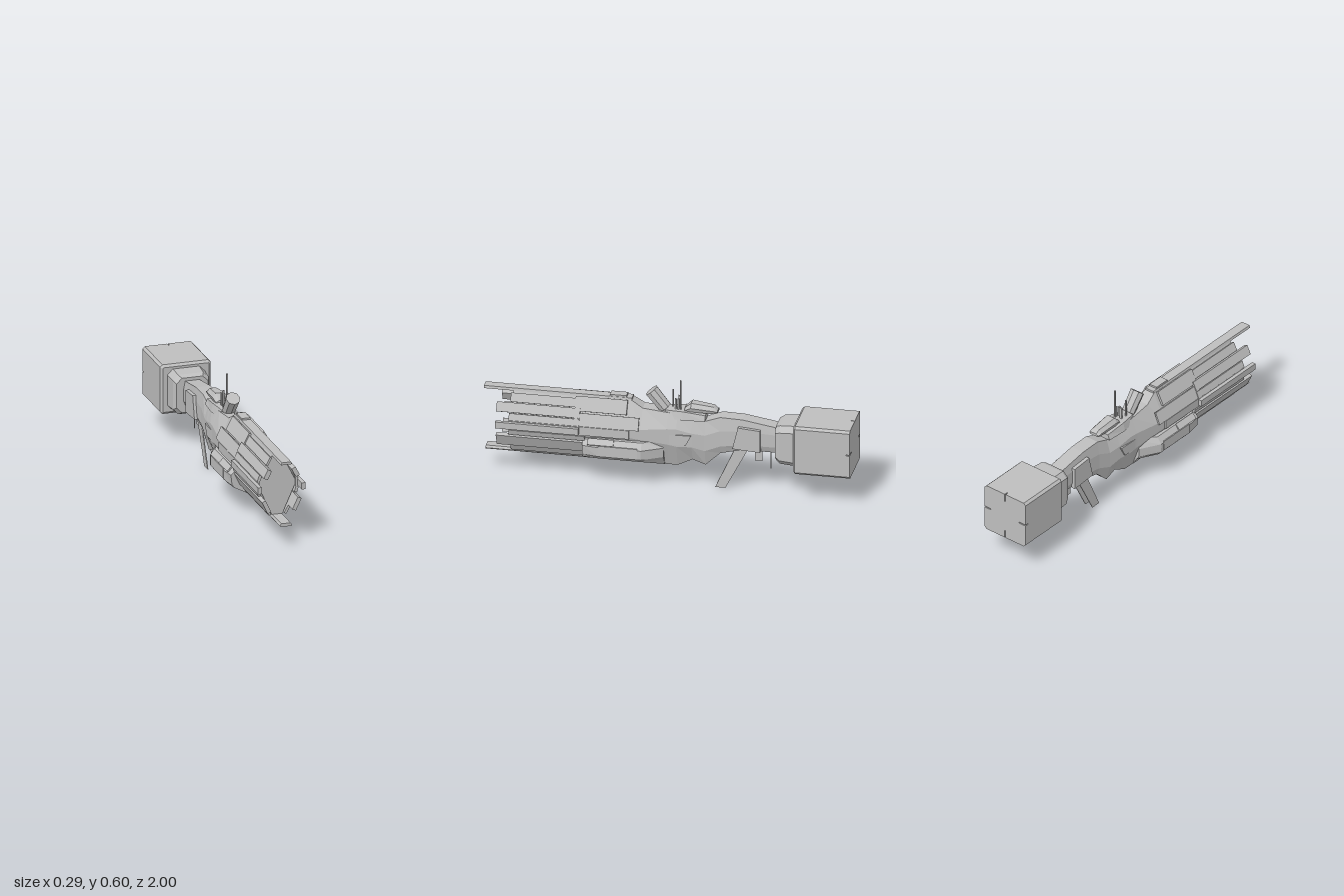
import * as THREE from 'three';

export function createModel() {
  const model = new THREE.Group();
  model.name = 'spaceship';
  const hullGrey = new THREE.MeshStandardMaterial({ color: 0xbebebe });
  hullGrey.name = 'hull grey';

  const add = (name, geo, x = 0, y = 0, z = 0) => {
    const m = new THREE.Mesh(geo, hullGrey);
    m.name = name;
    m.position.set(x, y, z);
    model.add(m);
    return m;
  };
  const box = (name, x0, x1, y0, y1, z0, z1) =>
    add(name, new THREE.BoxGeometry(x1 - x0, y1 - y0, z1 - z0), (x0 + x1) / 2, (y0 + y1) / 2, (z0 + z1) / 2);

  // Full outline from a right-hand half listed bottom to top
  const mirrored = half => [...half, ...half.slice().reverse().map(([x, y]) => [-x, y])];

  // Faceted skin through cross-sections listed from front to back
  const loft = (name, sections) => {
    const pos = [];
    const rings = sections.map(([z, pts]) => pts.map(([x, y]) => [x, y, z]));
    const tri = (a, b, c) => pos.push(...a, ...b, ...c);
    const n = rings[0].length, last = rings[rings.length - 1];
    for (let i = 0; i < rings.length - 1; i++) {
      const a = rings[i], b = rings[i + 1];
      for (let j = 0; j < n; j++) {
        const k = (j + 1) % n;
        tri(b[j], b[k], a[k]);
        tri(b[j], a[k], a[j]);
      }
    }
    for (let j = 1; j < n - 1; j++) {
      tri(rings[0][0], rings[0][j], rings[0][j + 1]);
      tri(last[0], last[j + 1], last[j]);
    }
    const g = new THREE.BufferGeometry();
    g.setAttribute('position', new THREE.Float32BufferAttribute(pos, 3));
    g.computeVertexNormals();
    return add(name, g);
  };

  // Side-on outline in (z, y), given thickness across x
  const sidePlate = (name, zy, x, t) => {
    const g = new THREE.ExtrudeGeometry(new THREE.Shape(zy.map(([z, y]) => new THREE.Vector2(-z, y))),
      { depth: t, bevelEnabled: false });
    g.translate(0, 0, -t / 2);
    g.rotateY(Math.PI / 2);
    return add(name, g, x);
  };

  // Armour slab lying along a line of the cross-section, on both sides
  const slabs = (name, x0, y0, x1, y1, z0, z1, t) => {
    for (const s of [1, -1]) {
      const m = add(name, new THREE.BoxGeometry(Math.hypot(x1 - x0, y1 - y0), t, z1 - z0),
        s * (x0 + x1) / 2, (y0 + y1) / 2, (z0 + z1) / 2);
      m.rotation.z = s * Math.atan2(y1 - y0, x1 - x0);
    }
  };

  // Main hull: z, bottom half-width and y, waist half-width, low and high y, top half-width and y
  const hull = [
    [0.84, 0.03, 0.13, 0.103, 0.295, 0.31, 0.027, 0.465],
    [0.20, 0.032, 0.118, 0.105, 0.28, 0.32, 0.03, 0.467],
    [0.14, 0.035, 0.117, 0.098, 0.27, 0.33, 0.037, 0.43],
    [0.00, 0.035, 0.115, 0.082, 0.25, 0.34, 0.045, 0.42],
    [-0.05, 0.035, 0.115, 0.078, 0.24, 0.34, 0.045, 0.415],
    [-0.13, 0.035, 0.155, 0.07, 0.24, 0.32, 0.042, 0.40],
    [-0.20, 0.035, 0.13, 0.06, 0.22, 0.31, 0.038, 0.385],
    [-0.28, 0.035, 0.205, 0.052, 0.25, 0.34, 0.04, 0.415],
    [-0.40, 0.035, 0.235, 0.05, 0.27, 0.35, 0.04, 0.412],
    [-0.60, 0.035, 0.235, 0.048, 0.27, 0.34, 0.04, 0.38],
  ];
  loft('hull', hull.map(([z, bw, by, w, lo, hi, tw, ty]) =>
    [z, mirrored([[bw, by], [w, lo], [w, hi], [tw, ty]])]));

  // Side pods joined under the belly
  const belly = [
    [0.45, 0.11, 0.122, 0.128, 0.25],
    [0.36, 0.12, 0.138, 0.14, 0.26],
    [0.13, 0.12, 0.138, 0.14, 0.26],
    [0.02, 0.06, 0.075, 0.078, 0.27],
  ];
  loft('sidePods', belly.map(([z, a, b, c, top]) =>
    [z, mirrored([[0.036, 0.114], [a, 0.153], [b, 0.172], [c, 0.225], [a - 0.008, top], [0.04, top + 0.01]])]));
  slabs('podPanel', 0.14, 0.235, 0.14, 0.178, 0.15, 0.36, 0.006);
  slabs('podTopPlate', 0.112, 0.262, 0.137, 0.235, 0.28, 0.42, 0.008);

  // Long spines overhanging the bow
  loft('topSpine', [1, 0.2].map(z => [z, mirrored([[0.03, 0.464], [0.026, 0.478]])]));
  loft('bottomSpine', [0.99, 0.1].map(z => [z, mirrored([[0.03, 0.112], [0.034, 0.118], [0.026, 0.13]])]));
  box('spineHatch', -0.024, 0.024, 0.476, 0.488, 0.23, 0.32);

  // Armour and forward beams
  slabs('upperArmour', 0.036, 0.468, 0.073, 0.397, 0.22, 0.5, 0.014);
  slabs('upperBowPlate', 0.037, 0.455, 0.06, 0.412, 0.47, 0.85, 0.012);
  slabs('upperBeam', 0.066, 0.41, 0.09, 0.363, 0.47, 0.92, 0.024);
  slabs('shoulderArmour', 0.08, 0.39, 0.108, 0.325, 0.15, 0.5, 0.01);
  slabs('shoulderPlate', 0.094, 0.36, 0.108, 0.325, 0.47, 0.85, 0.016);
  slabs('sideBeam', 0.122, 0.32, 0.122, 0.283, 0.47, 0.92, 0.022);
  slabs('sideRail', 0.107, 0.325, 0.107, 0.275, 0.2, 0.85, 0.012);
  slabs('lowerPlate', 0.11, 0.275, 0.1, 0.245, 0.44, 0.85, 0.016);
  slabs('lowerBeam', 0.1, 0.238, 0.069, 0.172, 0.44, 0.92, 0.022);
  slabs('keelPlate', 0.066, 0.175, 0.042, 0.132, 0.42, 0.85, 0.014);

  for (const s of [1, -1]) {
    // Flank panels amidships and on the neck, landing fins
    sidePlate('flankPanel', [[0.16, 0.305], [-0.13, 0.31], [-0.1, 0.25], [0.04, 0.25]], s * 0.074, 0.014);
    sidePlate('neckPanel', [[-0.38, 0.375], [-0.5, 0.365], [-0.5, 0.24], [-0.35, 0.25]], s * 0.055, 0.022);
    sidePlate('landingFin', [[-0.25, 0], [-0.305, 0], [-0.43, 0.24], [-0.36, 0.24]], s * 0.024, 0.005);
  }
  box('ventralFin', -0.004, 0.004, 0.165, 0.24, -0.5, -0.46);
  box('ventralMast', -0.002, 0.002, 0.125, 0.24, -0.55, -0.545);

  // Bridge and its deck
  loft('bridgeDeck', [[0.02, 0.035, 0.43], [-0.08, 0.052, 0.435], [-0.2, 0.045, 0.42]].map(([z, w, y]) =>
    [z, mirrored([[w + 0.012, 0.39], [w, y]])]));
  loft('bridge', [[-0.085, 0.028, 0.425, 0.445], [-0.12, 0.034, 0.43, 0.476], [-0.24, 0.028, 0.425, 0.462],
    [-0.262, 0.024, 0.43, 0.445]].map(([z, w, lo, hi]) =>
    [z, mirrored([[w, lo], [w + 0.007, (lo + hi) / 2], [w - 0.01, hi]])]));

  // Tilted dorsal turret
  const turret = add('turret', new THREE.CylinderGeometry(0.039, 0.036, 0.12, 8).toNonIndexed(), 0, 0.475, 0.062);
  turret.geometry.computeVertexNormals();
  turret.rotation.x = 0.68;

  // Masts: x, z, top, thickness
  for (const [x, z, top, t] of [[0.02, -0.062, 0.602, 0.008], [-0.015, -0.014, 0.53, 0.007],
    [0.012, -0.035, 0.49, 0.01], [-0.012, -0.05, 0.5, 0.012], [0.02, -0.05, 0.495, 0.008]])
    box('mast', x - t / 2, x + t / 2, 0.42, top, z - t / 2, z + t / 2);

  // Engine collar and block
  const chamfered = (w, lo, hi, c) => mirrored([[w - c, lo], [w, lo + c], [w, hi - c], [w - c, hi]]);
  loft('engineCollar', [
    [-0.585, chamfered(0.088, 0.205, 0.4, 0.03)],
    [-0.61, chamfered(0.1, 0.19, 0.412, 0.03)],
    [-0.7, chamfered(0.105, 0.185, 0.418, 0.03)],
  ]);
  loft('engineBlock', [
    [-0.69, chamfered(0.128, 0.178, 0.43, 0.004)],
    [-0.703, chamfered(0.141, 0.165, 0.443, 0.013)],
    [-0.98, chamfered(0.141, 0.165, 0.443, 0.013)],
  ]);

  // Stern plate with a slot in the middle of each edge
  const w = 0.141, h = 0.139, c = 0.013, d = 0.045, t = 0.003;
  const quarter = [[t, h - d], [t, h], [w - c, h], [w, h - c], [w, t], [w - d, t]];
  const flipX = p => p.map(([x, y]) => [-x, y]).reverse();
  const flipY = p => p.map(([x, y]) => [x, -y]).reverse();
  const outline = [...quarter, ...flipY(quarter), ...flipX(flipY(quarter)), ...flipX(quarter)];
  add('sternPlate', new THREE.ExtrudeGeometry(new THREE.Shape(outline.map(p => new THREE.Vector2(...p))),
    { depth: 0.02, bevelEnabled: false }), 0, 0.304, -1);

  return model;
}
